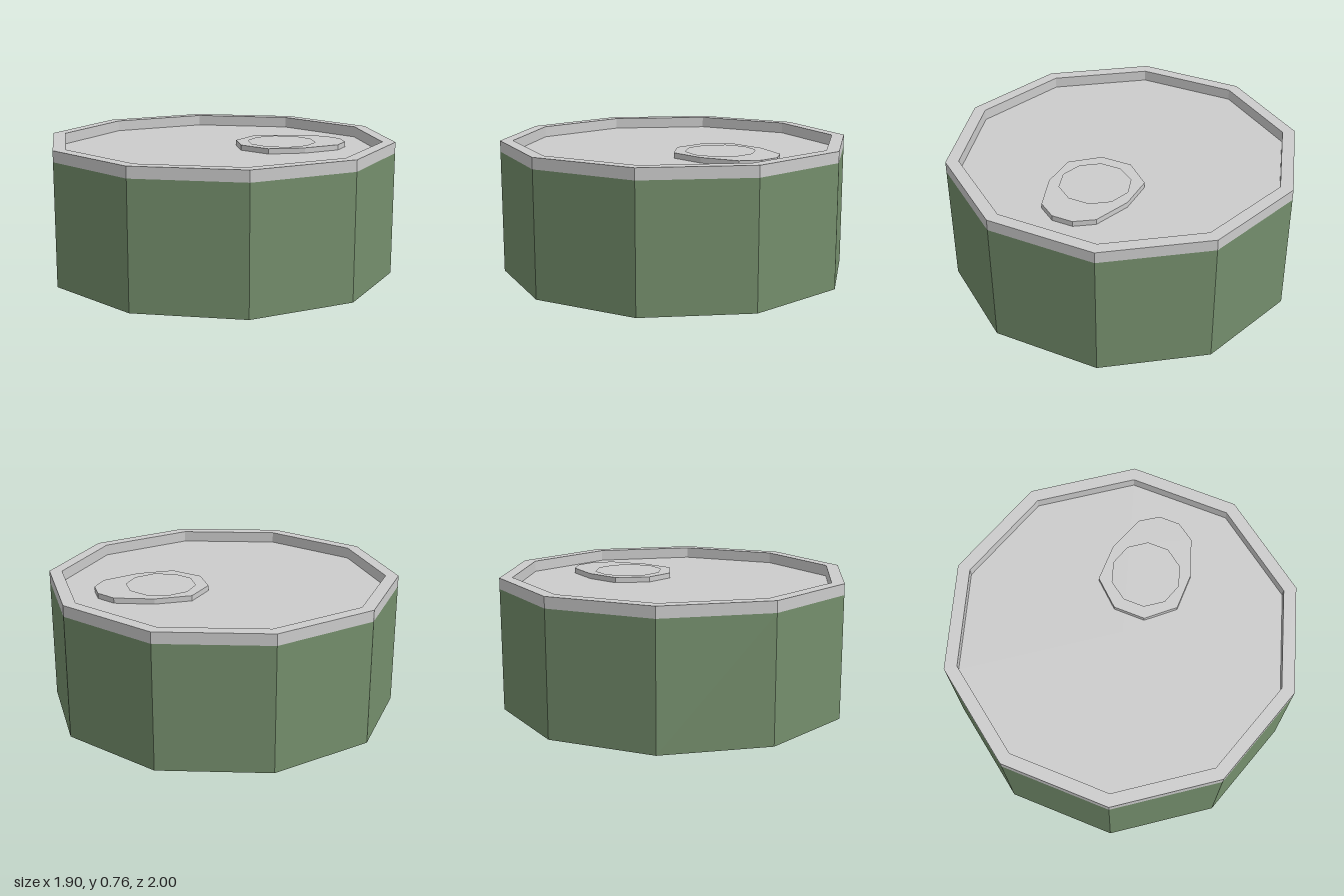
import * as THREE from 'three';

const SIDES = 10;
const BODY_TOP = 0.7;
const RIM_TOP = 0.763;
const RIM_INNER = 0.927;
const TAB_THICKNESS = 0.03;

export function createModel() {
  const green = new THREE.MeshStandardMaterial({ name: 'label green', color: 0x748e6c, flatShading: true });
  const metal = new THREE.MeshStandardMaterial({ name: 'metal grey', color: 0xcccccc, flatShading: true });
  const model = new THREE.Group();
  model.name = 'tinCan';

  const add = (name, geometry, material, y = 0) => {
    const mesh = new THREE.Mesh(geometry, material);
    mesh.name = name;
    mesh.position.y = y;
    model.add(mesh);
    return mesh;
  };

  // Ten-sided flat disc, corners on the z axis
  const disc = (radius, facing) =>
    new THREE.CircleGeometry(radius, SIDES, Math.PI / 2).rotateX(-facing * Math.PI / 2);

  // Painted side wall
  const wall = new THREE.CylinderGeometry(1, 1, BODY_TOP, SIDES, 1, true);
  add('sideWall', wall, green, BODY_TOP / 2);

  // Metal base and recessed lid
  add('base', disc(1, -1), metal);
  add('lid', disc(RIM_INNER, 1), metal, BODY_TOP);

  // Raised rim: outer face, top, inner face
  const rimProfile = [[1, BODY_TOP], [1, RIM_TOP], [RIM_INNER, RIM_TOP], [RIM_INNER, BODY_TOP]];
  const rim = new THREE.LatheGeometry(rimProfile.map(([r, y]) => new THREE.Vector2(r, y)), SIDES);
  add('rim', rim, metal);

  // Pull tab: half outline mirrored, with a ten-sided finger hole
  const half = [[0.11, 0.09], [0.24, 0.237], [0.45, 0.237], [0.66, 0.162], [0.73, 0.06]];
  const outline = [...half, ...half.map(([x, y]) => [x, -y]).reverse()];
  const tabShape = new THREE.Shape(outline.map(([x, y]) => new THREE.Vector2(x, y)));
  const hole = [];
  for (let i = 0; i < SIDES; i++) {
    const a = (i / SIDES) * Math.PI * 2;
    hole.push(new THREE.Vector2(0.363 + 0.196 * Math.sin(a), 0.196 * Math.cos(a)));
  }
  tabShape.holes.push(new THREE.Path(hole));
  const tab = new THREE.ExtrudeGeometry(tabShape, { depth: TAB_THICKNESS, bevelEnabled: false });
  tab.rotateX(-Math.PI / 2);
  add('pullTab', tab, metal, BODY_TOP).position.z = -0.005;

  return model;
}
